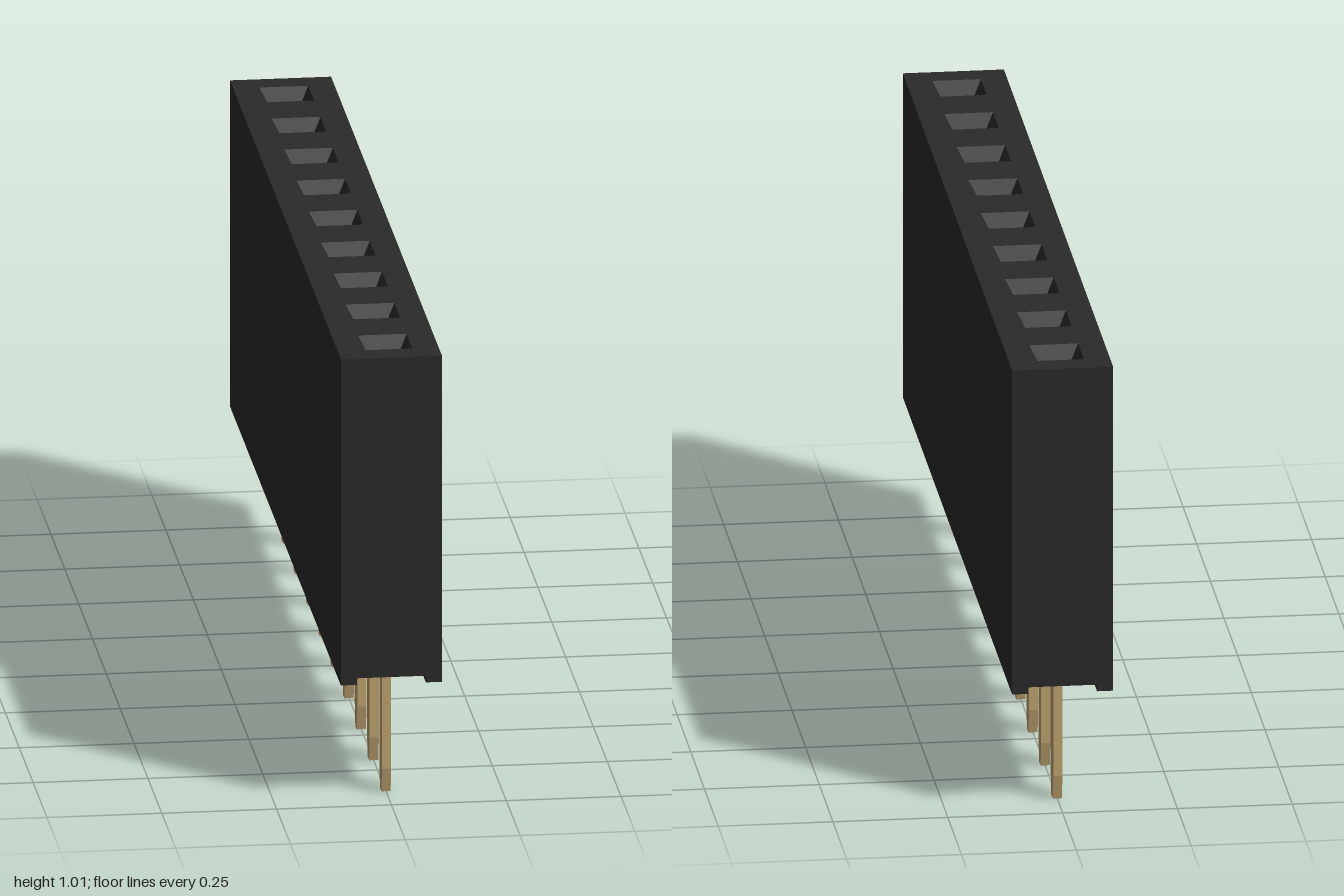
import * as THREE from 'three';

const COUNT = 9, PITCH = 2 / COUNT;
const HALF_W = 0.11, HALF_L = 1;

const plastic = new THREE.MeshStandardMaterial({ color: 0x2a2a2a, flatShading: true });
const brass = new THREE.MeshStandardMaterial({ color: 0xc2a570, flatShading: true });

function rectPath(PathType, cx, cy, hw, hh) {
  return new PathType([[-1, -1], [1, -1], [1, 1], [-1, 1]]
    .map(([x, y]) => new THREE.Vector2(cx + x * hw, cy + y * hh)));
}

// Block with one socket per contact; each socket follows these sections
function housingGeometry() {
  const sections = [ // height, half width, half length of the socket
    { y: 0.29, hx: 0.01, hz: 0.025 },   // tight around the pin
    { y: 0.31, hx: 0.03, hz: 0.03 },    // shaft floor
    { y: 0.97, hx: 0.03, hz: 0.03 },    // shaft top
    { y: 1.015, hx: 0.053, hz: 0.053 }, // funnel mouth
  ];
  const plan = rectPath(THREE.Shape, 0, 0, HALF_W, HALF_L);
  for (let i = 0; i < COUNT; i++) {
    plan.holes.push(rectPath(THREE.Path, 0, (i - (COUNT - 1) / 2) * PITCH, 0.05, 0.05));
  }
  const steps = sections.length - 1;
  const geo = new THREE.ExtrudeGeometry(plan, { depth: steps, steps, bevelEnabled: false });
  geo.rotateX(-Math.PI / 2);
  const p = geo.attributes.position;
  for (let i = 0; i < p.count; i++) {
    const s = sections[Math.round(p.getY(i))];
    p.setY(i, s.y);
    if (Math.abs(p.getX(i)) < 0.1) { // corner of a socket
      const centre = Math.round(p.getZ(i) / PITCH) * PITCH;
      p.setX(i, Math.sign(p.getX(i)) * s.hx);
      p.setZ(i, centre + Math.sign(p.getZ(i) - centre) * s.hz);
    }
  }
  geo.computeVertexNormals();
  return geo;
}

// Flat solder pin with a tapered tip
function pinGeometry() {
  const outline = new THREE.Shape([
    [-0.013, 0], [0.013, 0], [0.025, 0.055], [0.025, 0.3], [-0.025, 0.3], [-0.025, 0.055],
  ].map(([x, y]) => new THREE.Vector2(x, y)));
  const geo = new THREE.ExtrudeGeometry(outline, { depth: 0.02, bevelEnabled: false });
  geo.translate(0, 0, -0.01);
  geo.rotateY(Math.PI / 2);
  return geo;
}

export function createModel() {
  const group = new THREE.Group();
  const add = (name, geo, mat, x = 0, y = 0, z = 0) => {
    const mesh = new THREE.Mesh(geo, mat);
    mesh.name = name;
    mesh.position.set(x, y, z);
    group.add(mesh);
  };

  add('housing', housingGeometry(), plastic);

  // Rails leaving a shallow channel along the underside
  const rail = new THREE.BoxGeometry(0.035, 0.015, 2 * HALF_L);
  add('leftRail', rail, plastic, 0.0925, 0.2825);
  add('rightRail', rail, plastic, -0.0925, 0.2825);

  // Pins below, thin contact blades inside the sockets
  const pin = pinGeometry();
  const blade = new THREE.BoxGeometry(0.012, 0.3, 0.044);
  for (let i = 0; i < COUNT; i++) {
    const z = (i - (COUNT - 1) / 2) * PITCH;
    add('pin' + (i + 1), pin, brass, 0, 0, z);
    add('contact' + (i + 1), blade, brass, 0, 0.445, z);
  }
  return group;
}
